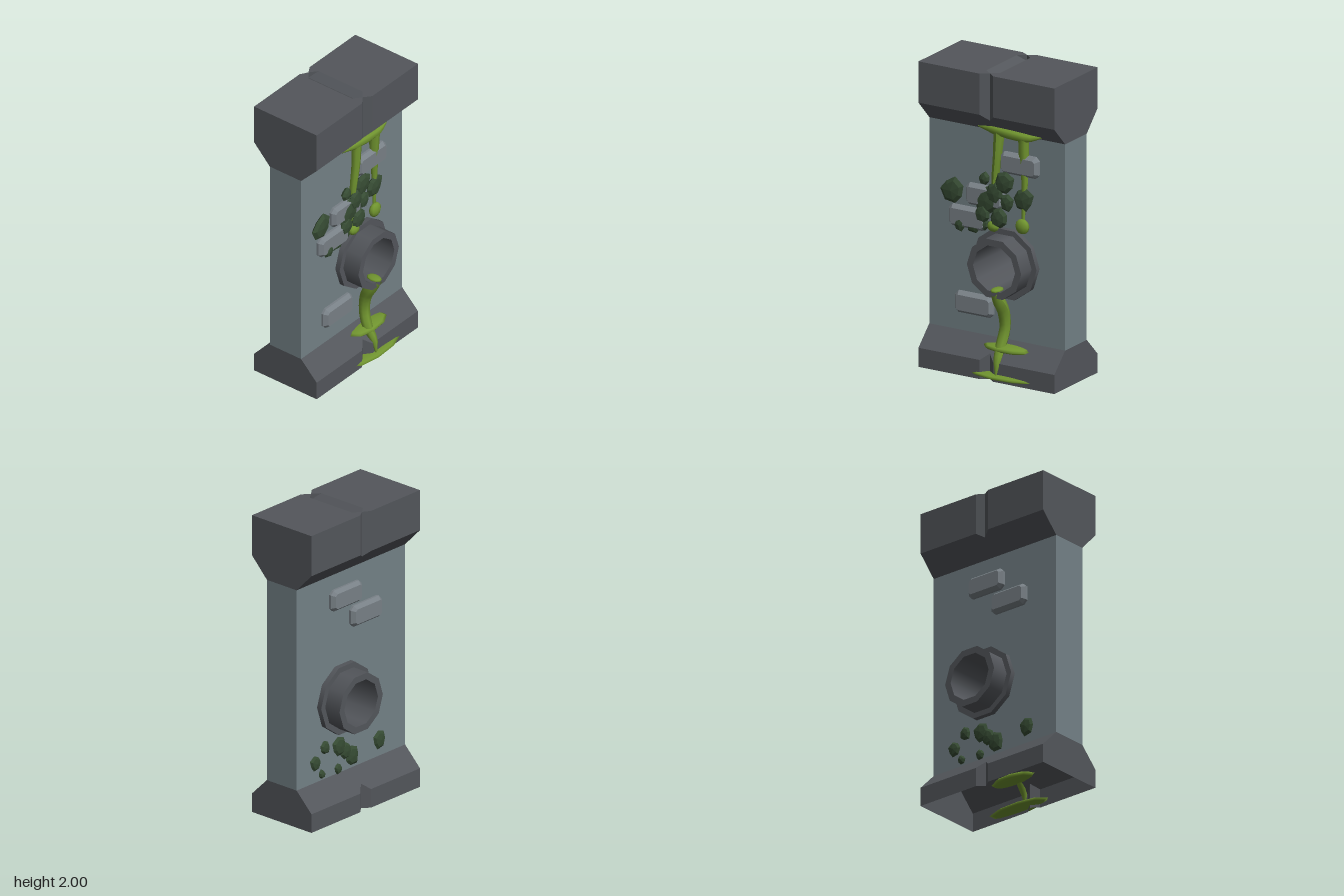
import * as THREE from 'three';

const V = (x, y, z) => new THREE.Vector3(x, y, z);

// Flat polygons (convex, counter-clockwise) to a geometry
function faces(polys) {
  const pos = [];
  for (const p of polys)
    for (let i = 1; i < p.length - 1; i++)
      for (const c of [p[0], p[i], p[i + 1]]) pos.push(...c);
  const g = new THREE.BufferGeometry();
  g.setAttribute('position', new THREE.Float32BufferAttribute(pos, 3));
  g.computeVertexNormals();
  return g;
}

// Block with a V groove at x = 0; profiles are [z, y] pairs from bottom to top
function groovedBlock(front, back, frontIn, backIn) {
  const polys = [];
  const xs = [-0.5, -0.05, 0, 0.05, 0.5];
  const at = (x, p) => [x, p[1], p[0]];
  for (let s = 0; s < 4; s++) {
    const [xa, xb] = [xs[s], xs[s + 1]];
    for (let i = 0; i < 2; i++) {
      const fa = xa === 0 ? frontIn : front, fb = xb === 0 ? frontIn : front;
      const ba = xa === 0 ? backIn : back, bb = xb === 0 ? backIn : back;
      polys.push([at(xa, fa[i]), at(xb, fb[i]), at(xb, fb[i + 1]), at(xa, fa[i + 1])]);
      polys.push([at(xb, bb[i]), at(xa, ba[i]), at(xa, ba[i + 1]), at(xb, bb[i + 1])]);
    }
  }
  const end = [...back, ...[...front].reverse()];
  polys.push(end.map(p => at(0.5, p)), end.map(p => at(-0.5, p)).reverse());
  return polys;
}

// Flat top of the cap with a sunken V channel
function capTop() {
  const polys = [];
  const half = [
    [[-0.5, 2, 0.24], [-0.05, 2, 0.24], [-0.05, 2, -0.26], [-0.5, 2, -0.26]],
    [[-0.05, 2, 0.24], [0, 2, 0.2], [-0.05, 2, 0.16]],
    [[-0.05, 2, -0.19], [0, 2, -0.23], [-0.05, 2, -0.26]],
    [[-0.05, 2, 0.16], [0, 1.96, 0.2], [0, 1.96, -0.23], [-0.05, 2, -0.19]],
    [[-0.05, 2, 0.16], [0, 2, 0.2], [0, 1.96, 0.2]],
    [[-0.05, 2, -0.19], [0, 1.96, -0.23], [0, 2, -0.23]],
  ];
  for (const p of half) {
    polys.push(p);
    polys.push(p.map(([x, y, z]) => [-x, y, z]).reverse());
  }
  return polys;
}

// Raised brick with cut corners and a sloped rim
function brickGeometry(w = 0.28, h = 0.14) {
  const c = 0.025, a = w / 2, b = h / 2;
  const s = new THREE.Shape([
    [-a + c, -b], [a - c, -b], [a, -b + c], [a, b - c],
    [a - c, b], [-a + c, b], [-a, b - c], [-a, -b + c],
  ].map(p => new THREE.Vector2(...p)));
  return new THREE.ExtrudeGeometry(s, {
    depth: 0.03, bevelEnabled: true, bevelThickness: 0.025,
    bevelSize: 0.02, bevelOffset: -0.02, bevelSegments: 1,
  }).translate(0, 0, -0.015);
}

// Tube along points whose radius follows a list
function dripGeometry(points, radii, n = 12) {
  const curve = new THREE.CatmullRomCurve3(points.map(p => V(...p)));
  const g = new THREE.TubeGeometry(curve, n, 1, 7, false);
  const pos = g.attributes.position, v = V(0, 0, 0);
  for (let i = 0; i <= n; i++) {
    const c = curve.getPointAt(i / n);
    const t = (i / n) * (radii.length - 1), k = Math.min(Math.floor(t), radii.length - 2);
    const r = THREE.MathUtils.lerp(radii[k], radii[k + 1], t - k);
    for (let j = 0; j < 8; j++) {
      v.fromBufferAttribute(pos, i * 8 + j).sub(c).multiplyScalar(r).add(c);
      pos.setXYZ(i * 8 + j, v.x, v.y, v.z);
    }
  }
  g.computeVertexNormals();
  return g;
}

// Faceted flat leaf clump with an uneven outline
function leafGeometry(r, seed, depth) {
  let g = new THREE.SphereGeometry(1, 7, 4).rotateX(Math.PI / 2);
  const pos = g.attributes.position;
  for (let i = 0; i < pos.count; i++) {
    const a = Math.atan2(pos.getY(i), pos.getX(i));
    const k = r * (1 + 0.12 * Math.sin(a * 2 + seed * 1.7) + 0.07 * Math.sin(a * 3 + seed));
    pos.setXYZ(i, pos.getX(i) * k, pos.getY(i) * k, pos.getZ(i) * depth);
  }
  g = g.rotateZ(seed * 0.9).toNonIndexed();
  g.computeVertexNormals();
  return g;
}

export function createModel() {
  const group = new THREE.Group();
  const mat = (name, color, side = THREE.FrontSide) => {
    const m = new THREE.MeshStandardMaterial({ color, side });
    m.name = name;
    return m;
  };
  const dark = mat('dark stone', 0x53565b, THREE.DoubleSide);
  const stone = mat('wall stone', 0x738186);
  const pale = mat('brick stone', 0x788086);
  const slime = mat('green slime', 0x70942f, THREE.DoubleSide);
  const leaf = mat('dark leaves', 0x364b33);
  const add = (name, g, m, x = 0, y = 0, z = 0) => {
    const mesh = new THREE.Mesh(g, m);
    mesh.name = name;
    mesh.position.set(x, y, z);
    group.add(mesh);
    return mesh;
  };

  // Wall with a ten-sided opening
  const px = 0.075, py = 0.75;
  const wall = new THREE.Shape([[-0.5, 0.25], [0.5, 0.25], [0.5, 1.6], [-0.5, 1.6]]
    .map(p => new THREE.Vector2(...p)));
  const hole = [];
  for (let i = 0; i < 10; i++) {
    const a = -i * Math.PI / 5;
    hole.push(new THREE.Vector2(px + 0.17 * Math.cos(a), py + 0.17 * Math.sin(a)));
  }
  wall.holes.push(new THREE.Path(hole));
  add('wall', new THREE.ExtrudeGeometry(wall, { depth: 0.25, bevelEnabled: false }), stone, 0, 0, -0.135);

  // Base (open underneath) and cap
  add('base', faces(groovedBlock(
    [[0.24, 0], [0.24, 0.125], [0.115, 0.25]], [[-0.26, 0], [-0.26, 0.125], [-0.135, 0.25]],
    [[0.2, 0], [0.2, 0.165], [0.115, 0.25]], [[-0.22, 0], [-0.22, 0.165], [-0.135, 0.25]])), dark);
  add('cap', faces([...groovedBlock(
    [[0.115, 1.6], [0.24, 1.73], [0.24, 2]], [[-0.135, 1.6], [-0.26, 1.73], [-0.26, 2]],
    [[0.115, 1.6], [0.2, 1.69], [0.2, 2]], [[-0.135, 1.6], [-0.23, 1.7], [-0.23, 2]]),
  ...capTop()]), dark);

  // Drain pipe and its flange, running through the wall
  const tube = (name, r, len) => add(name,
    new THREE.CylinderGeometry(r, r, len, 10, 1, true, Math.PI / 2).rotateX(Math.PI / 2), dark, px, py, -0.01);
  tube('pipeOuter', 0.2, 0.56);
  tube('pipeInner', 0.155, 0.56);
  tube('flange', 0.237, 0.32);
  for (const s of [1, -1]) {
    const turn = s > 0 ? 0 : Math.PI;
    add('pipeRim', new THREE.RingGeometry(0.155, 0.2, 10), dark, px, py, -0.01 + s * 0.28).rotation.y = turn;
    add('flangeFace', new THREE.RingGeometry(0.2, 0.237, 10), dark, px, py, -0.01 + s * 0.16).rotation.y = turn;
  }

  // Raised bricks on both faces
  for (const [x, y] of [[0.175, 1.41], [-0.16, 0.44], [-0.205, 1.0], [-0.08, 1.16]])
    add('frontBrick', brickGeometry(), pale, x, y, 0.115);
  for (const [x, y] of [[0.06, 1.43], [-0.125, 1.27]])
    add('backBrick', brickGeometry(), pale, x, y, -0.135).rotation.y = Math.PI;

  // Leaf clumps: x, y, radius
  [[-0.32, 1.16, 0.085], [-0.06, 1.14, 0.095], [0.07, 1.28, 0.075], [0.205, 1.19, 0.075],
    [-0.08, 1.28, 0.042], [0.03, 1.04, 0.068], [-0.16, 0.97, 0.062], [-0.26, 0.95, 0.045],
    [-0.09, 1.05, 0.06], [-0.09, 0.98, 0.045], [0.085, 1.15, 0.055], [0.0, 1.2, 0.07],
  ].forEach(([x, y, r], i) => add('frontLeaf', leafGeometry(r, i + 1, 0.025), leaf, x, y, 0.13 + (i % 3) * 0.007));
  [[0.33, 0.38, 0.05], [0.27, 0.29, 0.03], [0.24, 0.46, 0.045], [0.11, 0.43, 0.065],
    [0.12, 0.28, 0.035], [0.05, 0.38, 0.055], [-0.01, 0.33, 0.065], [-0.26, 0.36, 0.06],
  ].forEach(([x, y, r], i) => add('backLeaf', leafGeometry(r, i + 4, 0.018), leaf, x, y, -0.137));

  // Slime: ledge, hanging drips and drops
  add('slimeLedge', dripGeometry([[-0.13, 1.615, 0.13], [-0.03, 1.615, 0.135], [0.12, 1.605, 0.14],
    [0.25, 1.6, 0.135], [0.34, 1.62, 0.125]], [0.004, 0.03, 0.033, 0.03, 0.006]), slime);
  add('leftDrip', dripGeometry([[0.025, 1.6, 0.13], [0.015, 1.45, 0.135], [-0.005, 1.28, 0.13],
    [-0.01, 1.12, 0.125], [-0.01, 0.97, 0.13]], [0.036, 0.029, 0.024, 0.018, 0.012]), slime);
  add('rightDrip', dripGeometry([[0.205, 1.6, 0.13], [0.205, 1.45, 0.125], [0.21, 1.3, 0.125],
    [0.205, 1.15, 0.13], [0.2, 1.02, 0.13]], [0.036, 0.033, 0.022, 0.014, 0.01]), slime);
  const blob = (name, x, y, z, a, b, c) =>
    add(name, new THREE.SphereGeometry(1, 9, 6).scale(a, b, c), slime, x, y, z);
  blob('leftDrop', -0.01, 0.98, 0.14, 0.046, 0.036, 0.03);
  blob('rightDrop', 0.2, 1.015, 0.14, 0.05, 0.05, 0.028);

  // Slime running from the pipe down to the ground
  blob('pipeSlime', 0.075, 0.605, 0.235, 0.036, 0.015, 0.055);
  add('pipeDrip', dripGeometry([[0.075, 0.59, 0.27], [0.075, 0.53, 0.22], [0.08, 0.44, 0.165],
    [0.08, 0.33, 0.15], [0.07, 0.22, 0.185], [0.075, 0.13, 0.235], [0.075, 0.05, 0.25]],
  [0.022, 0.042, 0.039, 0.036, 0.035, 0.026, 0.006], 16), slime);
  blob('upperSplat', 0.1, 0.205, 0.16, 0.17, 0.025, 0.075);
  blob('groundSplat', 0.1, 0.035, 0.215, 0.235, 0.018, 0.072);
  return group;
}
